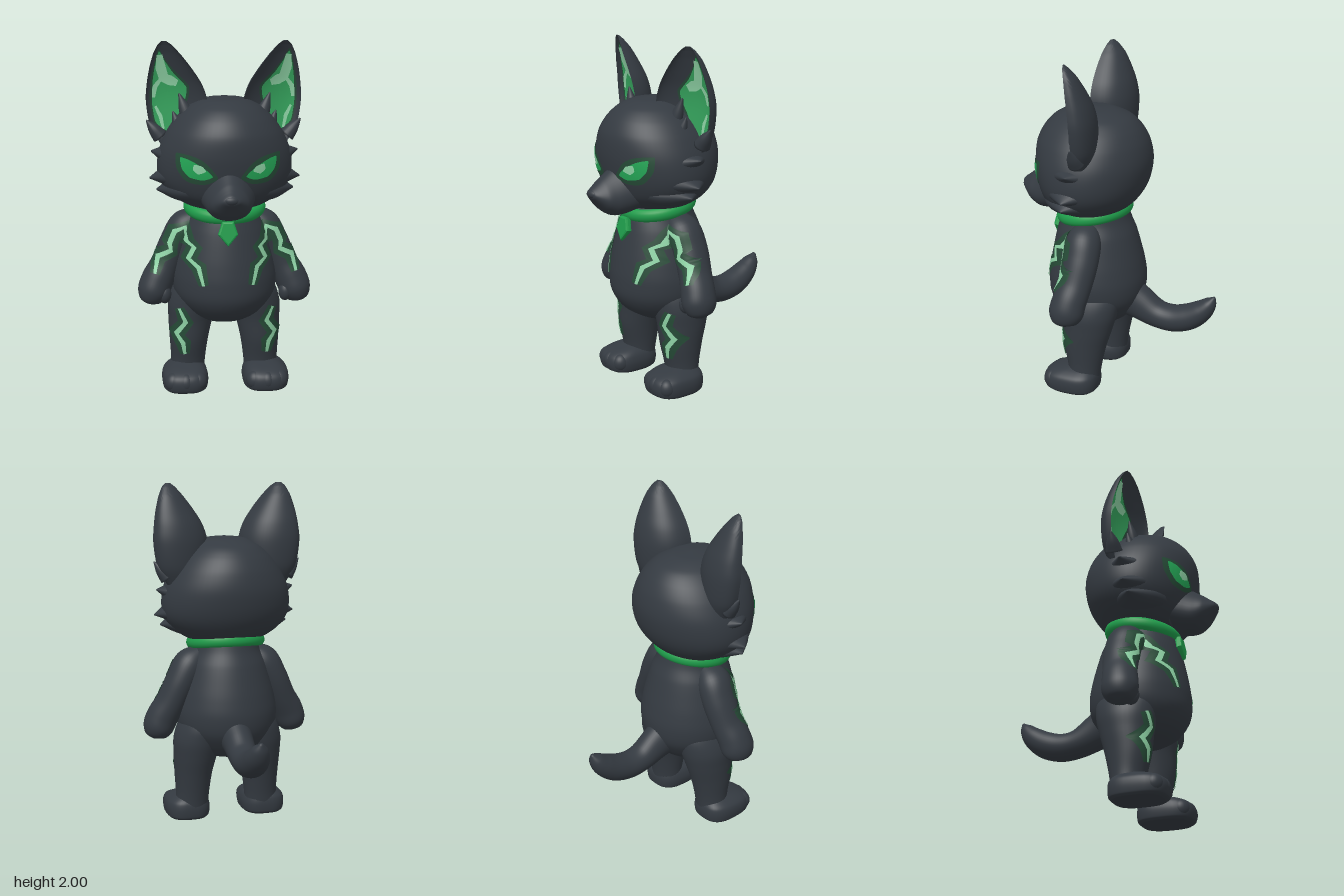
import * as THREE from 'three';
import { toCreasedNormals } from 'three/addons/utils/BufferGeometryUtils.js';

const V3 = (x, y, z) => new THREE.Vector3(x, y, z);
const mat = (name, color, side = THREE.FrontSide) =>
  Object.assign(new THREE.MeshStandardMaterial({ color, side }), { name });

const X = V3(1, 0, 0), Y = V3(0, 1, 0), Z = V3(0, 0, 1);

// Ring outlines: plain, boxy (feet), pear (muzzle, wider below) and cupped (ears, thicker inside)
const round = a => [Math.cos(a), Math.sin(a)];
const boxy = a => round(a).map(v => Math.sign(v) * Math.abs(v) ** 0.72);
const pear = a => [Math.cos(a) * (1 - 0.28 * Math.sin(a)), Math.sin(a)];
const cup = a => {
  const [c, s] = round(a);
  return [c, (s > 0 ? s ** 0.8 * (1 - 0.2 * c) : -0.45 * s) + 0.38 * c];
};

function surface(pos, idx) {
  const g = new THREE.BufferGeometry();
  g.setAttribute('position', new THREE.Float32BufferAttribute(pos, 3));
  g.setIndex(idx);
  g.computeVertexNormals();
  return g;
}

// Smooth skin through sections [x, y, z, radiusU, radiusV]; axis fixes the ring direction
function loft(secs, { axis = null, ref = X, profile = round, n = 40, sub = 6 } = {}) {
  const path = new THREE.CatmullRomCurve3(secs.map(s => V3(s[0], s[1], s[2])));
  const radii = new THREE.CatmullRomCurve3(secs.map(s => V3(s[3], s[4], 0)), false, 'catmullrom', 0.5);
  const steps = (secs.length - 1) * sub, pos = [], idx = [];
  for (let i = 0; i <= steps; i++) {
    const c = path.getPoint(i / steps), r = radii.getPoint(i / steps);
    const T = axis || path.getTangent(i / steps);
    const v = T.clone().cross(ref).normalize(), u = v.clone().cross(T);
    for (let j = 0; j < n; j++) {
      const [a, b] = profile(j / n * Math.PI * 2);
      pos.push(...c.clone().addScaledVector(u, a * Math.max(r.x, 0.002)).addScaledVector(v, b * Math.max(r.y, 0.002)).toArray());
    }
  }
  for (let i = 0; i < steps; i++) for (let j = 0; j < n; j++) {
    const p = i * n + j, q = i * n + (j + 1) % n;
    idx.push(p, q, p + n, q, q + n, p + n);
  }
  const last = steps * n;
  pos.push(...path.getPoint(0).toArray(), ...path.getPoint(1).toArray());
  for (let j = 0; j < n; j++) {
    const k = (j + 1) % n;
    idx.push(last + n, k, j, last + n + 1, last + j, last + k);
  }
  return surface(pos, idx);
}

// Upright body section from y, half width, back z and front z
const slab = ([y, w, b, f]) => [0, y, (b + f) / 2, w, (f - b) / 2];

const ball = (x, y, z, rx, ry, rz) => new THREE.SphereGeometry(1, 28, 20).scale(rx, ry, rz).translate(x, y, z);
const tuft = (a, b, ra, rb) => loft([
  [...a, ra, rb], [...a.map((v, i) => v + (b[i] - v) * 0.5), ra * 0.7, rb * 0.7], [...b, 0.004, 0.004]],
{ ref: Z, n: 20 });

// Drops flat points onto the skin from the front, slightly raised; points off the edge slide inward
function projector(targets, lift) {
  const ray = new THREE.Raycaster();
  return (x, y) => {
    let hit;
    for (let k = 0; k < 25 && !hit; k++) {
      ray.set(V3(x * (1 - 0.01 * k), y, 2), V3(0, 0, -1));
      hit = ray.intersectObjects(targets, false)[0];
    }
    return hit.point.clone().addScaledVector(hit.face.normal, lift).toArray();
  };
}

// Painted zigzag band
function ribbon(pts, half, targets, lift) {
  const project = projector(targets, lift), P = pts.map(p => new THREE.Vector2(...p));
  const side = P.map((p, i) => {
    const d = P[Math.min(i + 1, P.length - 1)].clone().sub(P[Math.max(i - 1, 0)]).normalize();
    const w = half * (i === 0 || i === P.length - 1 ? 0.6 : 1);
    return new THREE.Vector2(-d.y * w, d.x * w);
  });
  const pos = [], idx = [], sub = 8, cols = 6;
  const rows = (P.length - 1) * sub;
  for (let r = 0; r <= rows; r++) {
    const i = Math.min(Math.floor(r / sub), P.length - 2), t = r / sub - i;
    const c = P[i].clone().lerp(P[i + 1], t), s = side[i].clone().lerp(side[i + 1], t);
    for (let k = 0; k <= cols; k++) {
      const m = 1 - 2 * k / cols;
      pos.push(...project(c.x + s.x * m, c.y + s.y * m));
      if (r < rows && k < cols) {
        const a = r * (cols + 1) + k, b = a + cols + 1;
        idx.push(a, b, a + 1, a + 1, b, b + 1);
      }
    }
  }
  return surface(pos, idx);
}

// Painted filled outline, made of rings shrinking to its middle
function patch(pts, targets, lift, grow = 0) {
  const project = projector(targets, lift), n = 48, rings = 10, pos = [], idx = [];
  const curve = new THREE.CatmullRomCurve3(pts.map(p => V3(p[0], p[1], 0)), true, 'catmullrom', 0.3);
  const mid = pts.reduce((s, p) => s.add(V3(p[0], p[1], 0)), V3(0, 0, 0)).divideScalar(pts.length);
  for (let r = 0; r <= rings; r++) for (let j = 0; j < n; j++) {
    const d = curve.getPoint(j / n).sub(mid);
    d.setLength(d.length() + grow).multiplyScalar(r / rings).add(mid);
    pos.push(...project(d.x, d.y));
    const k = (j + 1) % n, a = r * n;
    if (r < rings) idx.push(a + j, a + n + j, a + n + k, a + j, a + n + k, a + k);
  }
  return surface(pos, idx);
}

export function createModel() {
  const root = new THREE.Group();
  root.name = 'standingFox';
  const coat = mat('charcoalCoat', 0x343a41);
  const leaf = mat('collarGreen', 0x1f9d4b);
  const inner = mat('innerGreen', 0x36a55e, THREE.DoubleSide);
  const iris = mat('eyeGreen', 0x25a857, THREE.DoubleSide);
  const pale = mat('paleGlow', 0x8fd4a6, THREE.DoubleSide);
  const halo = mat('darkGreenHalo', 0x264b37, THREE.DoubleSide);

  const add = (name, geo, m = coat) => {
    const mesh = new THREE.Mesh(geo, m);
    mesh.name = name;
    root.add(mesh);
    return mesh;
  };
  const pair = (name, geo, m = coat) => {
    const left = add('left' + name, geo, m);
    add('right' + name, geo, m).scale.x = -1;
    return left;
  };

  // Torso and head
  const torso = add('torso', loft([
    [0.37, 0.02, 0.08, 0.14], [0.4, 0.14, -0.03, 0.25], [0.46, 0.225, -0.09, 0.35], [0.55, 0.285, -0.145, 0.41],
    [0.65, 0.3, -0.16, 0.42], [0.75, 0.287, -0.148, 0.41], [0.85, 0.263, -0.125, 0.392], [0.95, 0.235, -0.097, 0.37],
    [1.03, 0.2, -0.065, 0.345], [1.12, 0.18, -0.04, 0.3]].map(slab), { axis: Y, n: 56 }));
  const head = add('head', loft([
    [1.06, 0.1, 0.05, 0.28], [1.09, 0.22, -0.03, 0.36], [1.15, 0.315, -0.1, 0.42], [1.22, 0.367, -0.147, 0.45],
    [1.3, 0.382, -0.175, 0.47], [1.4, 0.368, -0.187, 0.482], [1.5, 0.325, -0.17, 0.475], [1.58, 0.268, -0.13, 0.436],
    [1.64, 0.2, -0.07, 0.377], [1.68, 0.115, 0.03, 0.29], [1.692, 0.01, 0.14, 0.18]].map(slab), { axis: Y, n: 64 }));

  // Muzzle, chin and nose
  add('muzzle', loft([
    [0, 1.22, 0.34, 0.16, 0.15], [0, 1.195, 0.42, 0.135, 0.145], [0, 1.175, 0.48, 0.118, 0.122], [0, 1.174, 0.53, 0.1, 0.088],
    [0, 1.18, 0.566, 0.072, 0.053], [0, 1.187, 0.594, 0.042, 0.025], [0, 1.188, 0.604, 0.008, 0.006]],
  { axis: Z, profile: pear }));
  add('chin', ball(0, 1.1, 0.45, 0.085, 0.045, 0.07));
  add('nose', ball(0, 1.187, 0.574, 0.046, 0.028, 0.034));

  // Cheek tufts
  [[[0.2, 1.345, 0.16], [0.415, 1.387, 0.15]], [[0.2, 1.27, 0.17], [0.426, 1.237, 0.17]],
    [[0.18, 1.19, 0.19], [0.388, 1.175, 0.19]]].forEach(([a, b], i) => pair('CheekTuft' + (i + 1), tuft(a, b, 0.2, 0.09)));

  // Cupped ears turned a little outward, with tufts
  const ear = pair('Ear', toCreasedNormals(loft([
    [1.42, 0.14, 0.36, 0.14, 0.09], [1.52, 0.11, 0.415, 0.157, 0.135], [1.66, 0.1, 0.438, 0.165, 0.148],
    [1.76, 0.128, 0.432, 0.171, 0.137], [1.85, 0.184, 0.417, 0.178, 0.11], [1.93, 0.246, 0.395, 0.182, 0.075],
    [1.98, 0.293, 0.371, 0.183, 0.036], [2.0, 0.322, 0.35, 0.182, 0.012]]
    .map(([y, a, b, z, d]) => [(a + b) / 2, y, z, (b - a) / 2, d]), { axis: Y, profile: cup, n: 48 }), 0.9));
  const earShape = [[0.362, 1.945], [0.33, 1.89], [0.28, 1.82], [0.21, 1.745], [0.215, 1.68], [0.24, 1.62], [0.27, 1.54],
    [0.32, 1.49], [0.385, 1.54], [0.405, 1.65], [0.4, 1.77], [0.385, 1.87]];
  pair('InnerEarHalo', patch(earShape, [ear], 0.003, 0.013), halo);
  pair('InnerEar', patch(earShape, [ear], 0.006), inner);
  pair('InnerEarGlow', ribbon([[0.36, 1.925], [0.352, 1.85], [0.335, 1.795], [0.3, 1.78], [0.26, 1.765]], 0.03, [ear], 0.009), pale);
  pair('InnerEarEdgeGlow', ribbon([[0.35, 1.79], [0.388, 1.74], [0.395, 1.68]], 0.015, [ear], 0.0095), pale);
  pair('InnerEarLowGlow', ribbon([[0.385, 1.63], [0.355, 1.57], [0.34, 1.5]], 0.012, [ear], 0.009), pale);
  pair('InnerEarTuft', tuft([0.2, 1.56, 0.17], [0.255, 1.71, 0.155], 0.04, 0.045));
  pair('InnerEarLowTuft', tuft([0.25, 1.5, 0.17], [0.29, 1.61, 0.155], 0.035, 0.038));
  pair('OuterEarTuft', tuft([0.36, 1.46, 0.1], [0.437, 1.555, 0.105], 0.05, 0.045));

  // Eyes
  const eye = [[0.09, 1.295], [0.13, 1.337], [0.2, 1.378], [0.258, 1.392], [0.25, 1.33], [0.21, 1.286], [0.14, 1.274]];
  pair('EyeHalo', patch(eye, [head], 0.004, 0.03), halo);
  pair('Eye', patch(eye, [head], 0.007), iris);
  pair('EyeGlow', patch([[0.125, 1.325], [0.145, 1.352], [0.185, 1.36], [0.192, 1.33], [0.165, 1.308]], [head], 0.0095), pale);

  // Arms with thumbs
  const arm = pair('Arm', loft([
    [0.15, 1.025, 0.13, 0.04, 0.06], [0.217, 0.952, 0.125, 0.094, 0.102], [0.278, 0.85, 0.118, 0.092, 0.104],
    [0.34, 0.72, 0.128, 0.088, 0.098], [0.386, 0.635, 0.145, 0.094, 0.1], [0.414, 0.565, 0.155, 0.09, 0.1],
    [0.43, 0.515, 0.16, 0.062, 0.07], [0.435, 0.493, 0.16, 0.01, 0.01]]));
  pair('Thumb', ball(0.348, 0.56, 0.195, 0.038, 0.055, 0.045));

  // Legs, feet and toes
  const leg = pair('Leg', loft([
    [0.22, 0.04, 0.13, 0.1, 0.09], [0.213, 0.15, 0.128, 0.1, 0.102], [0.207, 0.28, 0.128, 0.113, 0.13],
    [0.196, 0.4, 0.115, 0.13, 0.152], [0.183, 0.5, 0.11, 0.142, 0.172], [0.165, 0.6, 0.11, 0.125, 0.175],
    [0.14, 0.7, 0.11, 0.08, 0.12]], { axis: Y }));
  pair('Foot', loft([
    [0.235, 0, 0.195, 0.115, 0.14], [0.235, 0.015, 0.198, 0.128, 0.16], [0.235, 0.06, 0.2, 0.134, 0.167],
    [0.235, 0.1, 0.195, 0.125, 0.157], [0.23, 0.127, 0.18, 0.1, 0.125], [0.225, 0.15, 0.15, 0.06, 0.07]],
  { axis: Y, profile: boxy }));
  [0.165, 0.235, 0.305].forEach((x, i) => pair('Toe' + (i + 1), ball(x, 0.062, i === 1 ? 0.316 : 0.3, 0.052, 0.056, 0.054)));

  // Tail
  add('tail', loft([
    [0, 0.56, -0.03, 0.11, 0.135], [0, 0.515, -0.13, 0.09, 0.108], [0, 0.458, -0.25, 0.084, 0.083], [0, 0.447, -0.35, 0.084, 0.08],
    [0, 0.475, -0.45, 0.082, 0.078], [0, 0.53, -0.53, 0.07, 0.064], [0, 0.585, -0.577, 0.046, 0.04], [0, 0.625, -0.602, 0.008, 0.008]]));

  // Collar and pendant
  add('collar', new THREE.TorusGeometry(0.2, 0.03, 18, 64).scale(1.02, 0.98, 1.25).rotateX(Math.PI / 2 + 0.17)
    .translate(0, 1.068, 0.148), leaf);
  const tag = new THREE.Shape([[-0.025, 0], [-0.045, -0.06], [0, -0.115], [0.045, -0.06], [0.025, 0]].map(p => new THREE.Vector2(...p)));
  add('pendant', new THREE.ExtrudeGeometry(tag, { depth: 0.015, bevelSize: 0.01, bevelThickness: 0.012, bevelSegments: 2 })
    .rotateX(-0.15).translate(0, 1.01, 0.36), leaf);

  // Glowing zigzags on chest, arms and legs
  const bolt = [[0.135, 0.66], [0.16, 0.76], [0.212, 0.8], [0.18, 0.865], [0.22, 0.89], [0.23, 0.96], [0.285, 0.935],
    [0.315, 0.865], [0.31, 0.825], [0.38, 0.785], [0.403, 0.69]];
  const legBolt = [[0.265, 0.49], [0.23, 0.41], [0.28, 0.335], [0.245, 0.28], [0.235, 0.21]];
  const skin = [torso, arm, leg];
  [['UpperBolt', bolt], ['LegBolt', legBolt]].forEach(([name, pts]) => {
    pair(name + 'Halo', ribbon(pts, 0.044, skin, 0.004), halo);
    pair(name + 'Glow', ribbon(pts, 0.013, skin, 0.008), pale);
  });
  return root;
}
